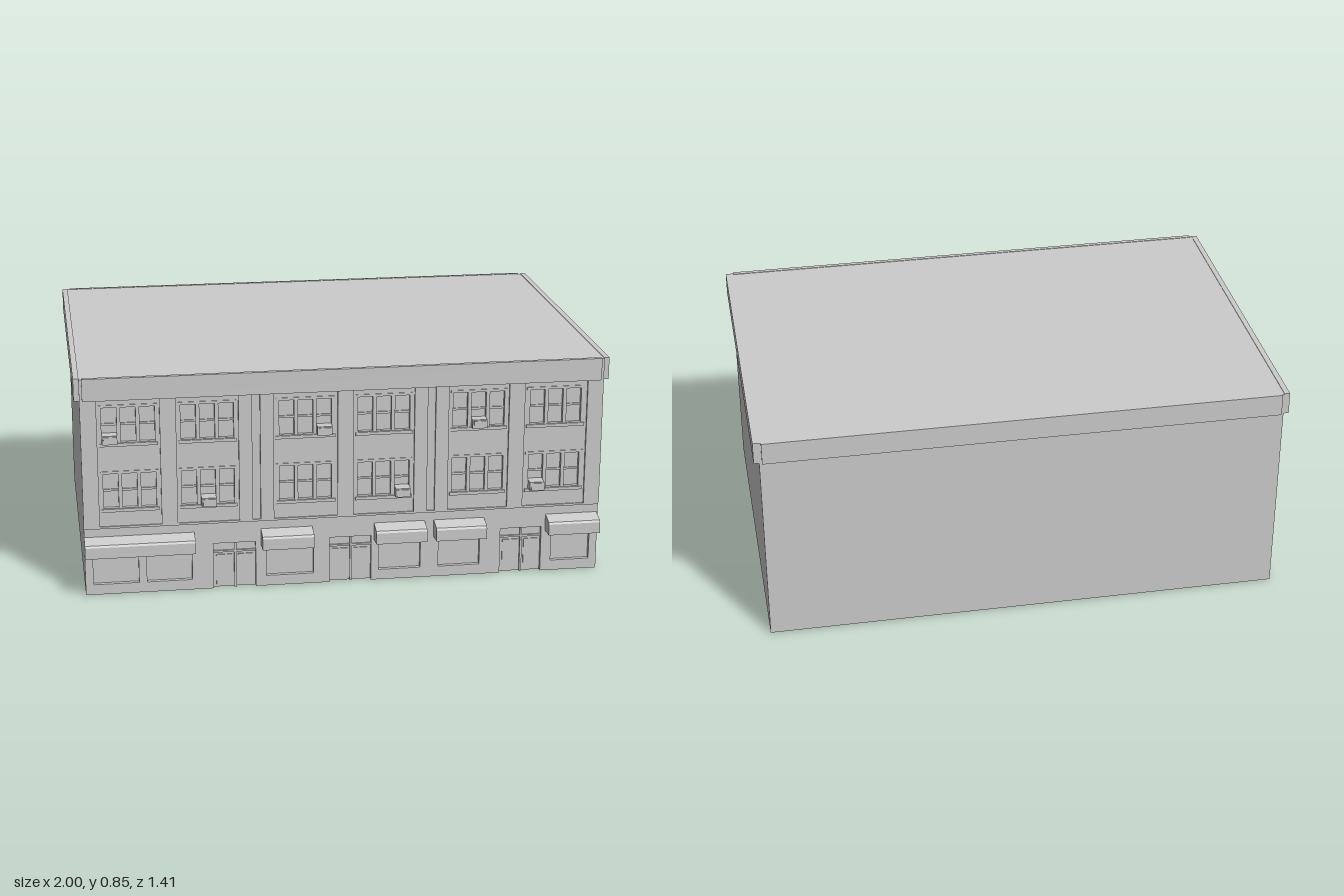
import * as THREE from 'three';

const grey = new THREE.MeshStandardMaterial({ color: 0xcccccc, flatShading: true, side: THREE.DoubleSide });
const WALL = 0.645, INNER = 0.627; // outer and inner planes of the front wall
const W = 0.98, BACK = -0.695, TOP = 0.843;

export function createModel() {
  const root = new THREE.Group();

  const add = (name, geometry, x = 0, y = 0, z = 0) => {
    const mesh = new THREE.Mesh(geometry, grey);
    mesh.name = name;
    mesh.position.set(x, y, z);
    root.add(mesh);
    return mesh;
  };
  // Box given by its extents
  const block = (name, x0, x1, y0, y1, z0, z1) =>
    add(name, new THREE.BoxGeometry(x1 - x0, y1 - y0, z1 - z0), (x0 + x1) / 2, (y0 + y1) / 2, (z0 + z1) / 2);
  const pane = (name, [x0, x1, y0, y1], z) =>
    add(name, new THREE.PlaneGeometry(x1 - x0, y1 - y0), (x0 + x1) / 2, (y0 + y1) / 2, z);

  // Layout of the facade
  const bays = [[-0.92, -0.69], [-0.63, -0.4], [-0.27, -0.03], [0.03, 0.26], [0.39, 0.62], [0.68, 0.92]];
  const pilasters = [[-0.98, -0.92], [-0.69, -0.63], [-0.4, -0.35], [-0.32, -0.27], [-0.03, 0.03],
    [0.26, 0.31], [0.34, 0.39], [0.62, 0.68], [0.92, 0.98]];
  const doors = [[-0.5, -0.34], [-0.06, 0.1], [0.6, 0.76]];
  const shops = [[-0.95, -0.78], [-0.75, -0.58], [-0.3, -0.12], [0.13, 0.29], [0.36, 0.52], [0.8, 0.95]];
  const sills = [0.34, 0.595];
  const PANE_W = 0.056, PANE_H = 0.135, STEP = 0.07, DOOR_H = 0.18;

  // Front wall: one plate with door notches and window openings
  const outline = [[-W, 0]];
  for (const [a, b] of doors) outline.push([a, 0], [a, DOOR_H], [b, DOOR_H], [b, 0]);
  outline.push([W, 0], [W, TOP], [-W, TOP]);
  const front = new THREE.Shape(outline.map(p => new THREE.Vector2(...p)));
  const openings = shops.map(([a, b]) => [a, b, 0.04, 0.16]);
  for (const [a, b] of bays) for (const y of sills) for (const i of [-1, 0, 1]) {
    const c = (a + b) / 2 + i * STEP;
    openings.push([c - PANE_W / 2, c + PANE_W / 2, y, y + PANE_H]);
  }
  for (const [a, b, c, d] of openings) {
    front.holes.push(new THREE.Path([[a, c], [a, d], [b, d], [b, c]].map(p => new THREE.Vector2(...p))));
  }
  add('frontWall', new THREE.ExtrudeGeometry(front, { depth: WALL - INNER, bevelEnabled: false }), 0, 0, INNER);

  // Glass set back in every opening, with a meeting rail on upper windows
  openings.forEach((o, i) => {
    pane('windowGlass', o, INNER + 0.002);
    if (i >= shops.length) {
      const mid = (o[2] + o[3]) / 2;
      block('windowRail', o[0], o[1], mid - 0.004, mid + 0.004, INNER, INNER + 0.007);
    }
  });

  // Sills and lintels
  for (const [a, b] of bays) for (const y of sills) {
    block('windowSill', a + 0.008, b - 0.008, y - 0.014, y - 0.002, WALL - 0.002, WALL + 0.005);
    block('windowLintel', a + 0.008, b - 0.008, y + PANE_H, y + PANE_H + 0.01, WALL - 0.002, WALL + 0.003);
  }

  // Recessed doors with leaf, side light and transom bar
  for (const [a, b] of doors) {
    pane('doorBack', [a, b, 0, DOOR_H], INNER + 0.002);
    const split = a + (b - a) * 0.52;
    block('doorPost', split - 0.004, split + 0.004, 0, DOOR_H, INNER, INNER + 0.012);
    block('doorTransom', a, b, 0.14, 0.147, INNER, INNER + 0.01);
    block('doorLeaf', a + 0.012, split - 0.012, 0.01, 0.13, INNER, INNER + 0.006);
    block('doorSideLight', split + 0.012, b - 0.012, 0.03, 0.13, INNER, INNER + 0.006);
  }

  // Pilasters and the ledge above the shops
  for (const [a, b] of pilasters) block('pilaster', a, b, 0.27, TOP, WALL - 0.002, 0.654);
  block('shopLedge', -W, W, 0.262, 0.27, WALL - 0.002, 0.65);

  // Awnings: a side profile extruded along x
  const profile = new THREE.Shape([[0.644, 0.165], [0.705, 0.165], [0.705, 0.208], [0.7, 0.216], [0.644, 0.23]]
    .map(([z, y]) => new THREE.Vector2(-z, y)));
  for (const [a, b] of [[-0.98, -0.57], [-0.32, -0.125], [0.11, 0.305], [0.34, 0.535], [0.775, 0.975]]) {
    const geometry = new THREE.ExtrudeGeometry(profile, { depth: b - a, bevelEnabled: false });
    add('awning', geometry.rotateY(Math.PI / 2), a);
  }

  // Air conditioners standing on the sills: bay, pane, floor
  for (const [bay, side, floor] of [[0, -1, 1], [1, 0, 0], [2, 1, 1], [3, 1, 0], [4, 0, 1], [5, -1, 0]]) {
    const c = (bays[bay][0] + bays[bay][1]) / 2 + side * STEP, y = sills[floor];
    const out = floor ? 0.675 : 0.684;
    block('airConditioner', c - 0.028, c + 0.028, y, y + 0.034, INNER + 0.002, out - 0.004);
    block('airConditionerGrille', c - 0.023, c + 0.023, y + 0.004, y + 0.03, out - 0.005, out);
  }

  // Thin back and side walls, open underneath
  pane('backWall', [-W, W, 0, TOP], BACK).rotation.y = Math.PI;
  for (const s of [-1, 1]) {
    const wall = add('sideWall', new THREE.PlaneGeometry(WALL - BACK, TOP), s * W, TOP / 2, (WALL + BACK) / 2);
    wall.rotation.y = s * Math.PI / 2;
  }

  // Roof slab and cornice bands, notched at the corners
  const roof = add('roof', new THREE.PlaneGeometry(2 * W, WALL - BACK), 0, TOP, (WALL + BACK) / 2);
  roof.rotation.x = -Math.PI / 2;
  const C0 = 0.76, C1 = 0.845;
  block('frontCornice', -0.97, 0.97, C0, C1, WALL - 0.002, 0.66);
  block('backCornice', -0.97, 0.97, C0, C1, -0.705, BACK + 0.001);
  for (const s of [-1, 1]) {
    block('sideCornice', Math.min(s * 0.979, s), Math.max(s * 0.979, s), C0, C1, BACK, 0.648);
  }
  return root;
}
